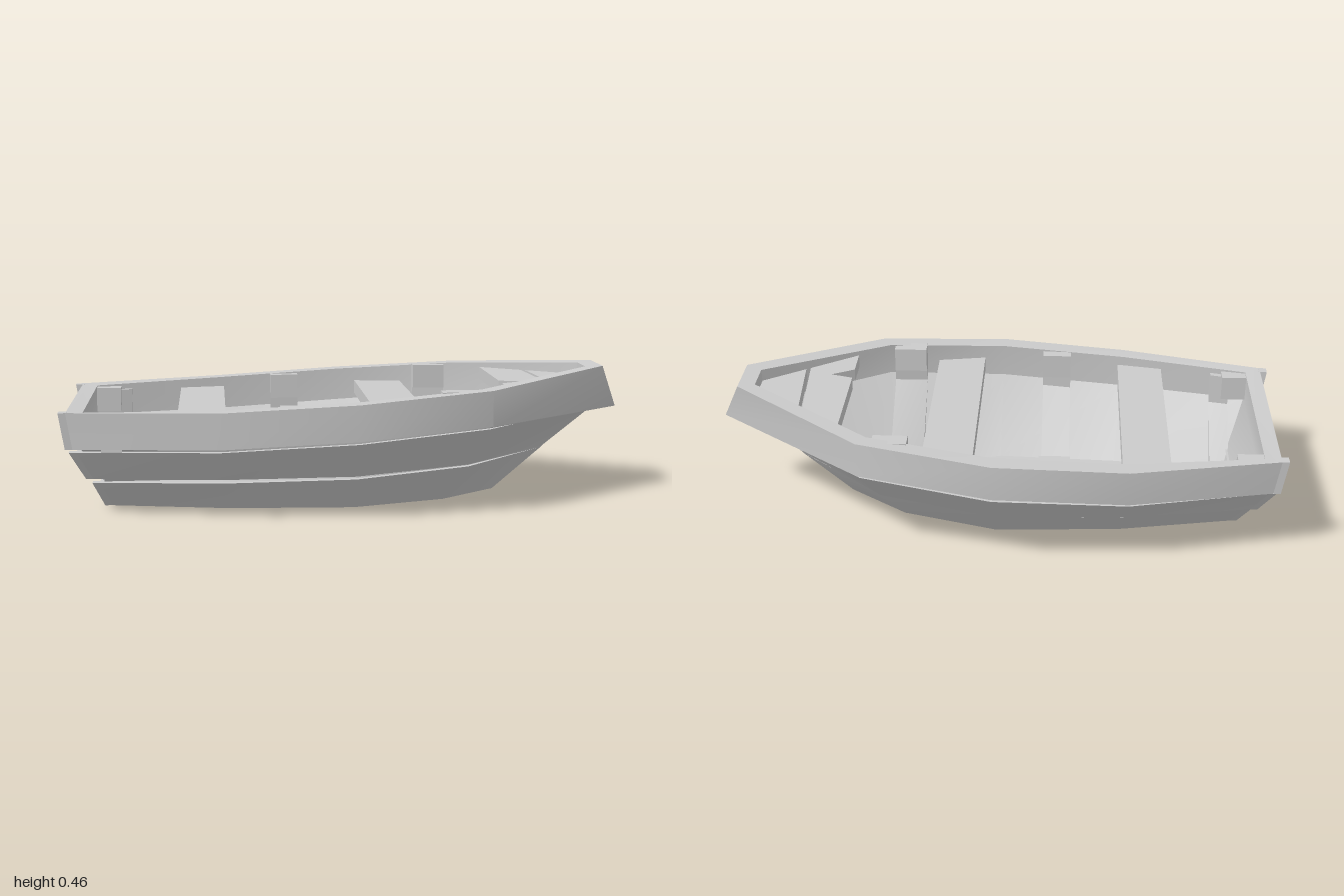
import * as THREE from 'three';
import { toCreasedNormals } from 'three/addons/utils/BufferGeometryUtils.js';

const material = new THREE.MeshStandardMaterial({ color: 0xcccccc });

// Half-breadth lines of the hull, stern to bow, as [x, y, z]
const bottom = [[-.865, 0, .17], [-.43, 0, .255], [0, 0, .278], [.33, 0, .17], [.54, 0, 0]];
const lowTop = [[-.9, .1, .265], [-.45, .11, .365], [0, .122, .395], [.4, .14, .29], [.72, .152, 0]];
const midLow = [[-.92, .115, .27], [-.455, .12, .355], [0, .13, .386], [.4, .146, .285], [.725, .158, 0]];
const midTop = [[-.97, .22, .34], [-.46, .235, .475], [0, .262, .512], [.45, .293, .425], [.905, .3, 0]];
const railLow = [[-.98, .235, .365], [-.46, .246, .485], [0, .272, .517], [.46, .302, .43], [.996, .303, 0]];
const railTop = [[-1, .36, .37], [-.46, .37, .49], [0, .395, .517], [.46, .425, .43], [.922, .463, .09]];
const innerTop = [[-.92, .355, .34], [-.46, .37, .425], [0, .395, .45], [.43, .423, .375], [.865, .458, .06]];
const innerKnee = [[-.92, .245, .34], [-.46, .25, .425], [0, .275, .45], [.43, .31, .375], [.86, .33, .06]];
const floorLine = [[-.83, .035, .16], [-.43, .035, .205], [0, .035, .225], [.25, .035, .15], [.52, .035, 0]];

// The lowest strake is a little narrower on the -z side
const NARROW = .93;

// Skins equal-sized loops of points and caps both ends
function loft(loops) {
  const pos = [], n = loops[0].length;
  const quad = (a, b, c, d) => pos.push(...a, ...b, ...c, ...a, ...c, ...d);
  for (let l = 0; l + 1 < loops.length; l++) {
    for (let i = 0; i < n; i++) {
      const j = (i + 1) % n;
      quad(loops[l][i], loops[l][j], loops[l + 1][j], loops[l + 1][i]);
    }
  }
  const first = loops[0], last = loops[loops.length - 1];
  for (let i = 0; i < n / 2 - 1; i++) {
    quad(last[i], last[i + 1], last[n - 2 - i], last[n - 1 - i]);
    quad(first[n - 1 - i], first[n - 2 - i], first[i + 1], first[i]);
  }
  const g = new THREE.BufferGeometry();
  g.setAttribute('position', new THREE.Float32BufferAttribute(pos, 3));
  return toCreasedNormals(g, .5);
}

// Closed waterline from a half-breadth line, with the stern end moved forward
function ring(line, stern = 0, far = 1) {
  const half = line.map(([x, y, z], i) => [i ? x : x + stern, y, z]);
  return [...half, ...half.map(([x, y, z]) => [x, y, -z * far]).reverse()];
}

// Line drawn in from the sides and stern, for the gaps between strakes
const inset = (line, d) => line.map(([x, y, z], i) => [i ? x : x + d, y, Math.max(0, z - d)]);

// Height and half-breadth of a line at a given x
function at(line, x) {
  let i = 0;
  while (i < line.length - 2 && x > line[i + 1][0]) i++;
  const [a, b] = [line[i], line[i + 1]];
  const t = THREE.MathUtils.clamp((x - a[0]) / (b[0] - a[0]), 0, 1);
  return [a[1] + (b[1] - a[1]) * t, a[2] + (b[2] - a[2]) * t];
}

// U-shaped frame lying on the inside of the hull
function ribGeometry(x0, x1, t) {
  const loops = [];
  const add = (line, side, up) => {
    const p = (x, k) => {
      const [y, z] = at(line, x);
      return [x, y + (up ? k * .6 : -.02), side * Math.max(.005, z - k)];
    };
    loops.push([p(x0, -.01), p(x1, -.01), p(x1, t), p(x0, t)]);
  };
  add(innerTop, -1); add(innerKnee, -1); add(floorLine, -1, true);
  add(floorLine, 1, true); add(innerKnee, 1); add(innerTop, 1);
  return loft(loops);
}

// Flat board from an outline in x and z
function plank(points, top, thickness) {
  const shape = new THREE.Shape(points.map(([x, z]) => new THREE.Vector2(x, z)));
  const g = new THREE.ExtrudeGeometry(shape, { depth: thickness, bevelEnabled: false });
  return g.rotateX(Math.PI / 2).translate(0, top, 0);
}

export function createModel() {
  const boat = new THREE.Group();
  boat.name = 'rowingBoat';
  const add = (name, geometry) => {
    const mesh = new THREE.Mesh(geometry, material);
    mesh.name = name;
    boat.add(mesh);
    return mesh;
  };
  const box = (name, x0, x1, y0, y1, z0, z1) =>
    add(name, new THREE.BoxGeometry(x1 - x0, y1 - y0, z1 - z0))
      .position.set((x0 + x1) / 2, (y0 + y1) / 2, (z0 + z1) / 2);

  // Hull: stepped strakes outside, rail, and hollow inside
  const s = .025;
  add('hull', loft([
    ring(bottom, s, NARROW), ring(lowTop, s, NARROW), ring(inset(lowTop, .025), s),
    ring(inset(midLow, .02), s), ring(midLow, s), ring(midTop, s), ring(inset(midTop, .02), s),
    ring(inset(railLow, .025), s), ring(railLow, s), ring(railTop, s),
    ring(innerTop), ring(innerKnee), ring(floorLine),
  ]));

  // Strake ends standing proud of the transom
  for (const [a, b, far] of [[bottom, lowTop, NARROW], [midLow, midTop, 1], [railLow, railTop, 1]]) {
    for (const side of [1, -1]) {
      const loop = ([x, y, z]) => {
        const za = side > 0 ? z : .035 - z * far, zb = za - .035;
        return [[x, y, za], [x + .03, y, za], [x + .03, y, zb], [x, y, zb]];
      };
      add('strakeEnd', loft([loop(a[0]), loop(b[0])]));
    }
  }

  // Frames with their head blocks: x start, x end, block bottom, block top
  for (const [x0, x1, y0, y1] of [[-.26, -.155, .29, .38], [.29, .41, .33, .418]]) {
    add('rib', ribGeometry(x0, x1, .022));
    const z = at(innerTop, (x0 + x1) / 2)[1];
    for (const side of [1, -1]) {
      const zs = [side * (z - .04), side * (z + .02)].sort((a, b) => a - b);
      box('ribBlock', x0, x1, y0, y1, ...zs);
    }
  }

  // Stern frame and corner blocks
  add('sternRib', ribGeometry(-.86, -.79, .022));
  box('sternBlock', -.93, -.83, .26, .35, .3, .365);
  box('sternBlock', -.93, -.83, .26, .35, -.365, -.3);

  // Benches
  box('sternBench', -.605, -.44, .285, .335, -.425, .425);
  box('middleBench', .07, .245, .3, .35, -.44, .44);

  // Bow planks, the rear one notched
  add('bowPlank', plank([[.54, -.305], [.68, -.205], [.705, .185], [.54, .305],
    [.54, .17], [.62, .125], [.54, .1]], .415, .045));
  add('bowPlank', plank([[.695, -.19], [.87, -.06], [.87, .06], [.72, .175]], .415, .045));

  return boat;
}
